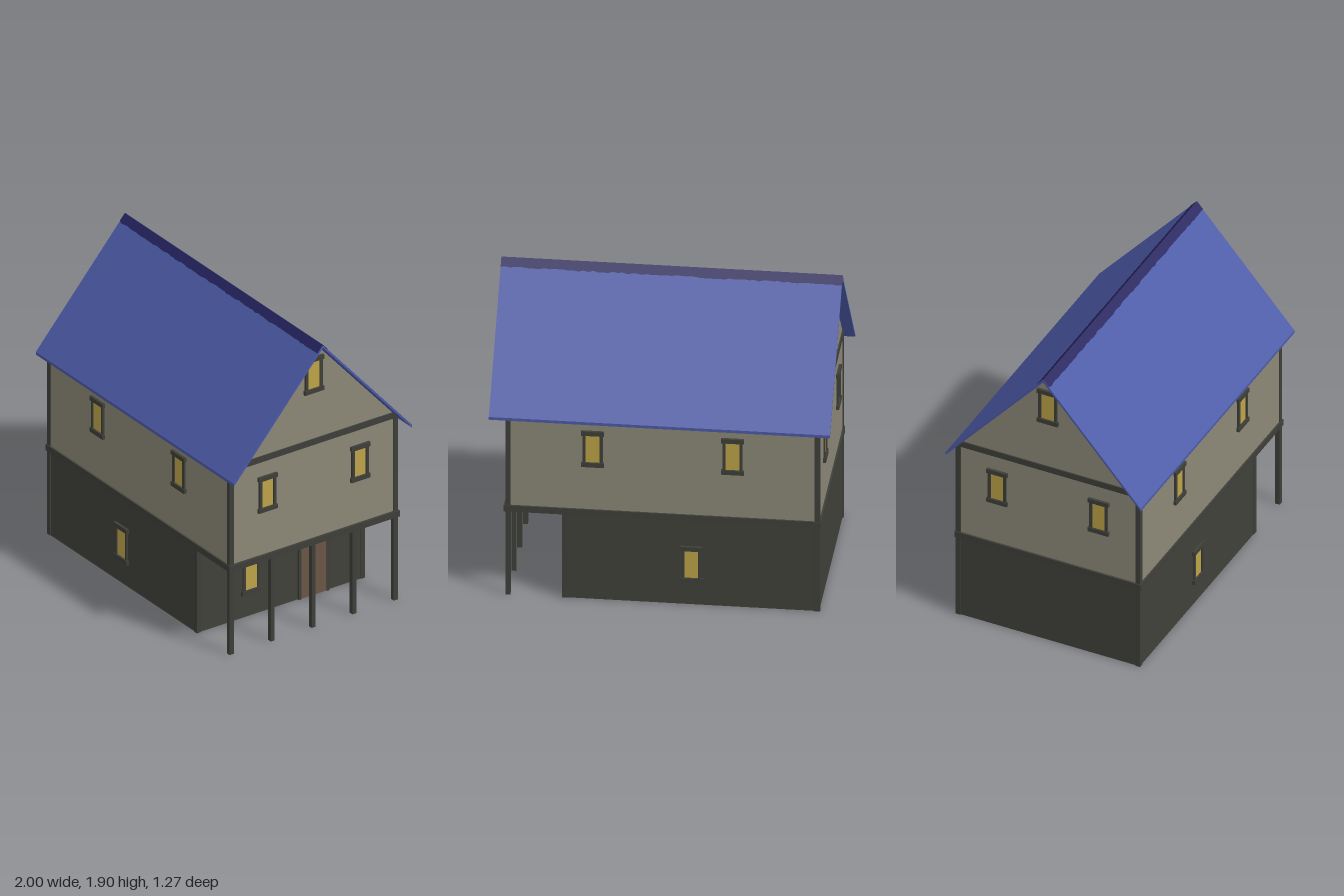
import * as THREE from 'three';

const mat = (name, color, side = THREE.FrontSide) => {
  const m = new THREE.MeshStandardMaterial({ color, side });
  m.name = name;
  return m;
};

export function createModel() {
  const model = new THREE.Group();
  model.name = 'house';
  const plaster = mat('plaster', 0x8c8878);
  const stone = mat('darkStone', 0x40413a);
  const timber = mat('darkTimber', 0x3e3f39);
  const roofBlue = mat('roofBlue', 0x4c5aa8);
  const ridgeNavy = mat('ridgeNavy', 0x26235f, THREE.DoubleSide);
  const glassYellow = mat('glassYellow', 0xbda348);
  const doorBrown = mat('doorBrown', 0x6a5546);

  // Box given by its minimum and maximum corners
  const box = (name, material, [x0, y0, z0], [x1, y1, z1], parent = model) => {
    const mesh = new THREE.Mesh(new THREE.BoxGeometry(x1 - x0, y1 - y0, z1 - z0), material);
    mesh.position.set((x0 + x1) / 2, (y0 + y1) / 2, (z0 + z1) / 2);
    mesh.name = name;
    parent.add(mesh);
    return mesh;
  };

  // Outline in (z, y), extruded along x from x0 to x1
  const alongX = (name, material, points, x0, x1) => {
    const shape = new THREE.Shape(points.map(([z, y]) => new THREE.Vector2(z, y)));
    const geo = new THREE.ExtrudeGeometry(shape, { depth: x1 - x0, bevelEnabled: false });
    geo.rotateY(Math.PI / 2);
    geo.translate(x0, 0, 0);
    const mesh = new THREE.Mesh(geo, material);
    mesh.name = name;
    model.add(mesh);
  };

  const LEFT = 0.9, RIGHT = -0.932, PORCH = 0.57, Z = 0.595;

  // Lower storey: four thin walls, open underneath
  const t = 0.01;
  box('lowerFrontWall', stone, [RIGHT, 0, Z - t], [PORCH, 0.555, Z]);
  box('lowerBackWall', stone, [RIGHT, 0, -Z], [PORCH, 0.555, -Z + t]);
  box('lowerPorchWall', stone, [PORCH - t, 0, -Z + t], [PORCH, 0.555, Z - t]);
  box('lowerEndWall', stone, [RIGHT, 0, -Z + t], [RIGHT + t, 0.555, Z - t]);

  // Floor band between the storeys
  box('floorBand', timber, [-0.944, 0.55, -0.606], [0.916, 0.59, 0.606]);

  // Upper storey with gables
  alongX('upperWalls', plaster,
    [[-Z, 0.58], [Z, 0.58], [Z, 1.207], [0, 1.88], [-Z, 1.207]], RIGHT, LEFT);

  // Corner posts, porch posts and gable beams
  for (const s of [1, -1]) {
    const z0 = s > 0 ? 0.57 : -0.6, z1 = z0 + 0.03;
    box('cornerPost', timber, [-0.938, 0, z0], [-0.906, 1.205, z1]);
    box('cornerPost', timber, [0.878, 0, z0], [0.906, 1.205, z1]);
    box('lowerCornerPost', timber, [0.546, 0, z0], [0.576, 0.55, z1]);
  }
  for (const z of [-0.29, 0, 0.292]) {
    box('porchPost', timber, [0.878, 0, z - 0.014], [0.906, 0.55, z + 0.014]);
  }
  for (const [x0, x1] of [[-0.94, -0.915], [0.885, 0.908]]) {
    alongX('gableBeam', timber, [[-0.6, 1.204], [0.6, 1.204], [0.566, 1.243], [-0.566, 1.243]], x0, x1);
  }

  // Roof: thin folded sheet
  const slope = 1.134, top = 1.902, eave = 0.635;
  const roofY = (z) => top - slope * z;
  alongX('roof', roofBlue, [
    [eave, roofY(eave)], [0, top], [-eave, roofY(eave)],
    [-eave, roofY(eave) - 0.018], [0, top - 0.018], [eave, roofY(eave) - 0.018],
  ], -1, 1);

  // Ridge cap with slightly ragged lower edges
  let seed = 7;
  const rand = () => (seed = (seed * 16807) % 2147483647) / 2147483647;
  for (const s of [1, -1]) {
    const pos = [], index = [], n = 70;
    for (let i = 0; i <= n; i++) {
      const x = -1 + (2 * i) / n, z = 0.037 + 0.006 * rand();
      pos.push(x, top + 0.003, 0, x, roofY(z) + 0.003, s * z);
      if (i < n) {
        const a = 2 * i, b = a + 1, c = a + 2, d = a + 3;
        if (s > 0) index.push(a, b, c, c, b, d);
        else index.push(a, c, b, c, d, b);
      }
    }
    const geo = new THREE.BufferGeometry();
    geo.setAttribute('position', new THREE.Float32BufferAttribute(pos, 3));
    geo.setIndex(index);
    geo.computeVertexNormals();
    const cap = new THREE.Mesh(geo, ridgeNavy);
    cap.name = 'ridgeCap';
    model.add(cap);
  }

  // Window centred on a wall point, facing outward after turning about y
  const addWindow = (x, y, z, turn, halfGlass = 0.043) => {
    const g = new THREE.Group();
    g.name = 'window';
    const w = halfGlass, h = 0.09;
    box('glass', glassYellow, [-w, -h, 0], [w, h, 0.005], g);
    for (const s of [-1, 1]) {
      const c = s * (w + 0.007);
      box('jamb', timber, [c - 0.009, -h, -0.018], [c + 0.009, h, 0.012], g);
      const m = s * (h + 0.013);
      box(s > 0 ? 'lintel' : 'sill', timber, [-w - 0.024, m - 0.014, -0.018], [w + 0.024, m + 0.014, 0.017], g);
    }
    g.position.set(x, y, z);
    g.rotation.y = turn;
    model.add(g);
  };

  // Front and back windows
  for (const [z, turn] of [[Z, 0], [-Z, Math.PI]]) {
    addWindow(-0.425, 0.99, z, turn);
    addWindow(0.395, 0.99, z, turn);
    addWindow(-0.183, 0.265, z, turn);
  }
  // Gable end windows
  for (const [x, turn] of [[LEFT, Math.PI / 2], [RIGHT, -Math.PI / 2]]) {
    addWindow(x, 0.99, 0.33, turn);
    addWindow(x, 0.99, -0.33, turn);
    addWindow(x, 1.668, 0, turn, 0.044);
  }
  // Porch window and door
  addWindow(PORCH, 0.265, 0.213, Math.PI / 2);
  box('door', doorBrown, [PORCH, 0, -0.325], [PORCH + 0.006, 0.34, -0.14]);
  for (const z of [-0.333, -0.132]) {
    box('doorJamb', timber, [PORCH - 0.015, 0, z - 0.009], [PORCH + 0.013, 0.34, z + 0.009]);
  }
  box('doorLintel', timber, [PORCH - 0.015, 0.34, -0.365], [PORCH + 0.018, 0.374, -0.1]);

  return model;
}
